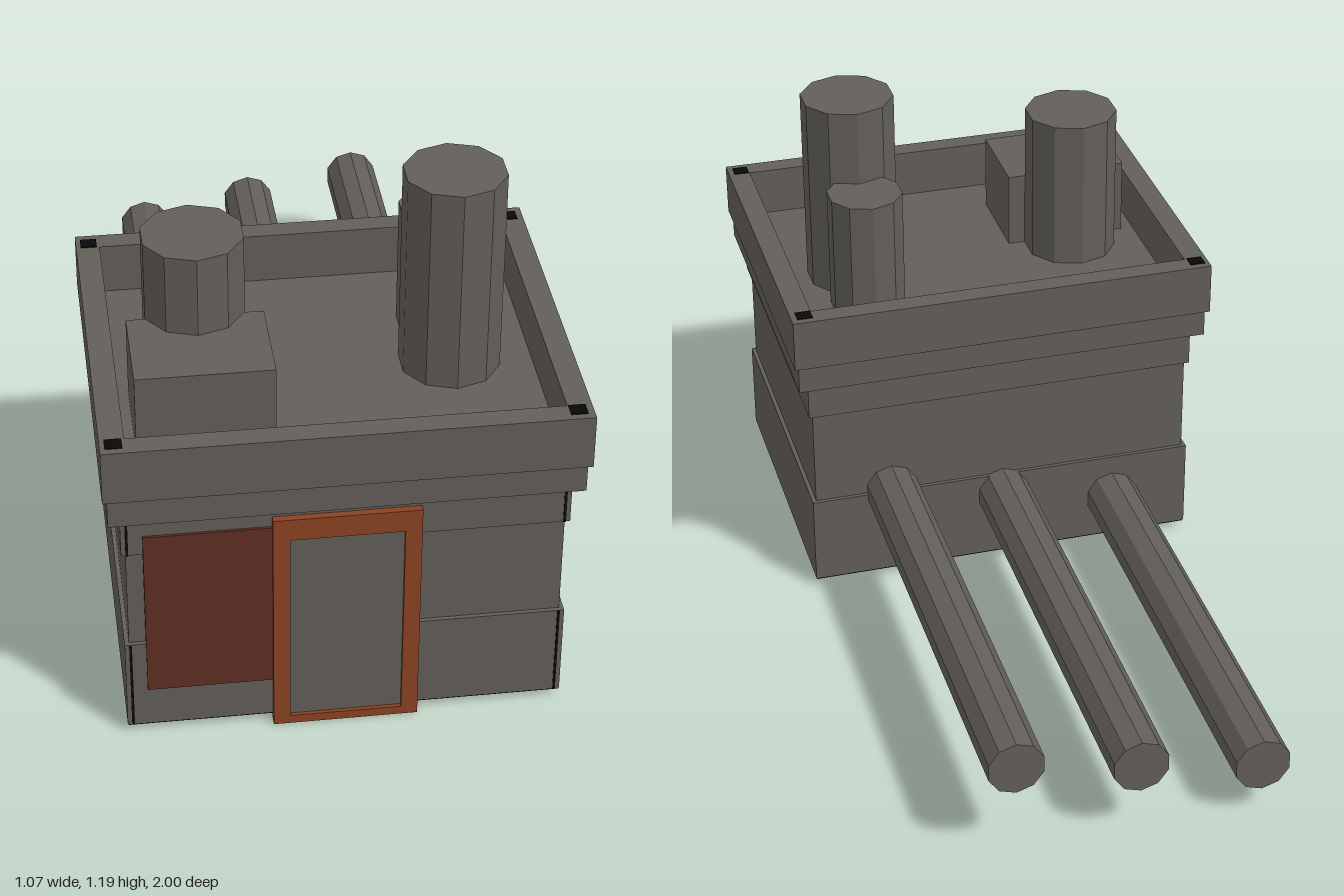
import * as THREE from 'three';

export function createModel() {
  const model = new THREE.Group();
  const mat = (name, color) => {
    const m = new THREE.MeshStandardMaterial({ color, flatShading: true });
    m.name = name;
    return m;
  };
  const concrete = mat('grey concrete', 0x625e59);
  const rust = mat('orange rust', 0x8a4222);
  const maroon = mat('dark red', 0x5e2d24);
  const black = mat('black', 0x080808);

  const add = (name, geometry, material) => {
    const mesh = new THREE.Mesh(geometry, material);
    mesh.name = name;
    model.add(mesh);
    return mesh;
  };
  // Box given by its limits on each axis
  const box = (name, material, x0, x1, y0, y1, z0, z1) =>
    add(name, new THREE.BoxGeometry(x1 - x0, y1 - y0, z1 - z0), material)
      .position.set((x0 + x1) / 2, (y0 + y1) / 2, (z0 + z1) / 2);
  // Flat outline with an optional hole, pushed out along z
  const frame = (w, h, iw, ih, depth, iy = 0) => {
    const rect = (P, a, b, c) => {
      const p = new P();
      p.moveTo(-a, c - b); p.lineTo(a, c - b); p.lineTo(a, c + b); p.lineTo(-a, c + b);
      p.closePath();
      return p;
    };
    const shape = rect(THREE.Shape, w / 2, h / 2, 0);
    shape.holes.push(rect(THREE.Path, iw / 2, ih / 2, iy));
    return new THREE.ExtrudeGeometry(shape, { depth, bevelEnabled: false });
  };

  // Walls with a plinth and an upper band
  box('walls', concrete, -0.49, 0.49, 0.03, 0.62, 0.175, 0.96);
  box('plinth', concrete, -0.5, 0.5, 0.022, 0.255, 0.165, 0.97);
  box('upperBand', concrete, -0.5, 0.5, 0.51, 0.61, 0.165, 0.97);
  box('underside', black, -0.498, 0.498, 0.018, 0.0225, 0.167, 0.968);

  // Dark joints at the front corners
  for (const s of [-1, 1]) {
    for (const [y0, y1] of [[0.022, 0.255], [0.51, 0.605]]) {
      box('cornerJoint', black, s * 0.487 - 0.003, s * 0.487 + 0.003, y0, y1, 0.968, 0.972);
    }
  }

  // Cornice, its top being the roof, and the open parapet above it
  box('roofCornice', concrete, -0.527, 0.527, 0.607, 0.685, 0.135, 0.99);
  const parapet = add('parapet', frame(1.074, 0.874, 0.964, 0.77, 0.132), concrete);
  parapet.rotation.x = -Math.PI / 2;
  parapet.position.set(0, 0.678, 0.562);
  for (const x of [-0.507, 0.503]) {
    for (const z of [0.16, 0.965]) {
      box('parapetCorner', black, x - 0.019, x + 0.019, 0.808, 0.812, z - 0.017, z + 0.017);
    }
  }

  // Roof chimneys and vent box
  for (const [name, x, z, r, top] of [
    ['leftChimney', -0.295, 0.562, 0.118, 1.075],
    ['tallChimney', 0.292, 0.562, 0.118, 1.192],
    ['smallChimney', 0.29, 0.397, 0.095, 1.0],
  ]) {
    add(name, new THREE.CylinderGeometry(r, r, top - 0.67, 10), concrete)
      .position.set(x, (top + 0.67) / 2, z);
  }
  box('ventBox', concrete, -0.45, -0.14, 0.67, 0.88, 0.6, 0.833);

  // Rear pipes, rising one step at a time towards +x
  for (let i = -1; i <= 1; i++) {
    const pipe = add('rearPipe', new THREE.CylinderGeometry(0.068, 0.068, 1.2, 10), concrete);
    pipe.rotation.x = Math.PI / 2;
    pipe.position.set(i * 0.294 - 0.003, 0.198 + i * 0.06, -0.4);
  }

  // Door, door frame and side panel
  add('doorFrame', frame(0.332, 0.586, 0.256, 0.508, 0.03, -0.017), rust)
    .position.set(-0.001, 0.293, 0.957);
  box('door', concrete, -0.13, 0.128, 0.02, 0.531, 0.957, 0.978);
  box('sidePanel', maroon, -0.452, -0.16, 0.125, 0.56, 0.957, 0.976);

  return model;
}
